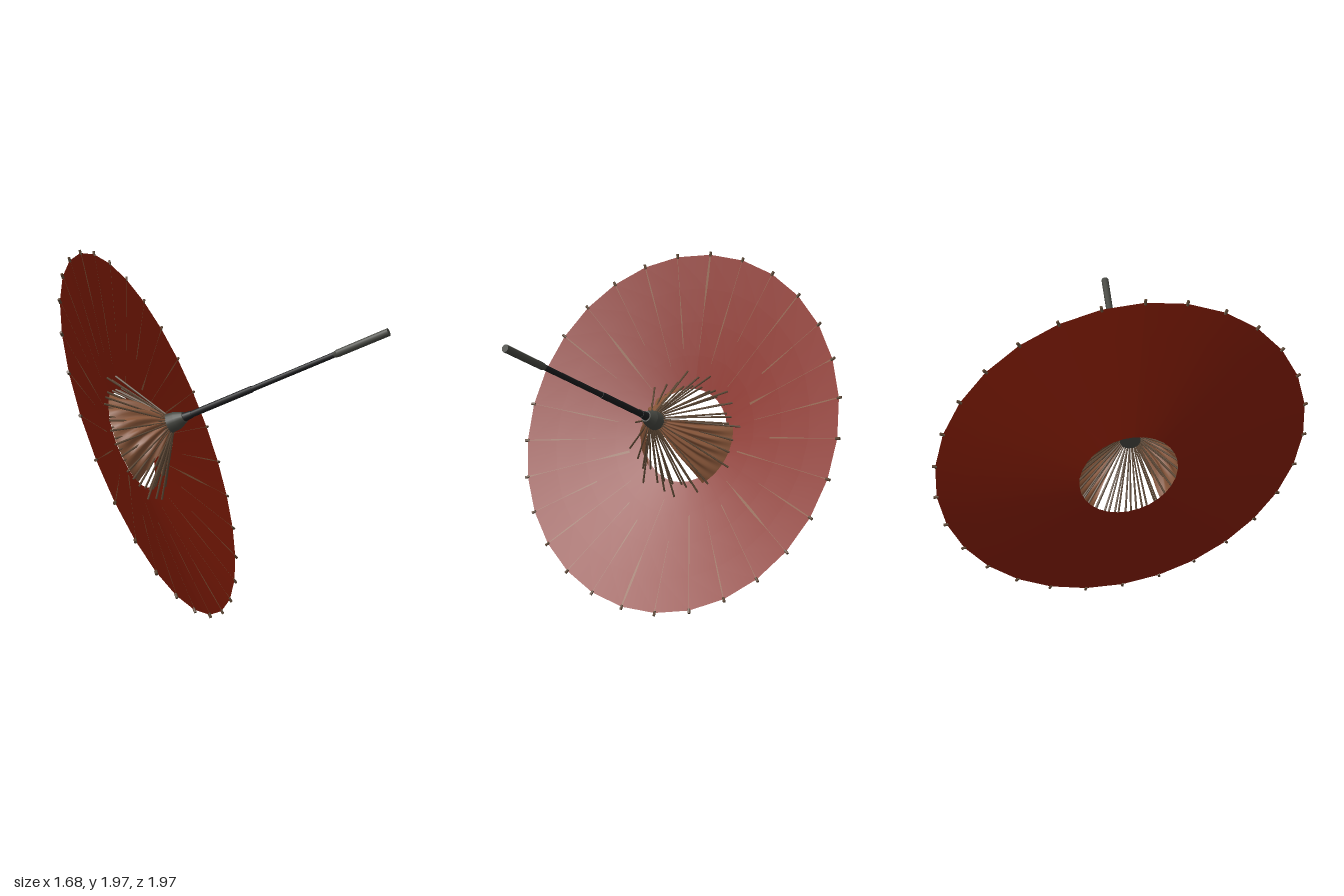
import * as THREE from 'three';
import { mergeGeometries } from 'three/addons/utils/BufferGeometryUtils.js';

const RIBS = 29;
const HOLE = 0.265; // hole radius as a fraction of the canopy radius
const V = (x, y, z) => new THREE.Vector3(x, y, z);

// Canopy frame: axis, up-slope direction and sideways direction
const axis = V(0.883, 0.386, 0.269).normalize();
const up = V(0, 1, 0).addScaledVector(axis, -axis.y).normalize();
const side = V(axis.z, 0, -axis.x).normalize();
const centre = V(-0.35, 0.985, 0.005);
const hubBase = V(-0.285, 1.04, 0.09);
const gripEnd = V(0.825, 1.598, 0.59);
const along = t => hubBase.clone().lerp(gripEnd, t);

// Moves a point outwards from the canopy axis
const outward = (p, angle, d) => p
  .addScaledVector(up, Math.cos(angle) * d)
  .addScaledVector(side, Math.sin(angle) * d);

// Point on the shallow cone: r is 0..1, lift raises it towards the handle
function onCanopy(r, angle, lift = 0) {
  const h = -0.135 * (1 - r) / (1 - HOLE) + lift;
  return centre.clone()
    .addScaledVector(up, Math.cos(angle) * r * 1.05)
    .addScaledVector(side, Math.sin(angle) * r * 1.005)
    .addScaledVector(axis, h);
}

// Surface from a grid of points
function sheet(rows, cols, point) {
  const pos = [], index = [];
  for (let i = 0; i <= rows; i++)
    for (let j = 0; j <= cols; j++) pos.push(...point(i / rows, j / cols).toArray());
  for (let i = 0; i < rows; i++)
    for (let j = 0; j < cols; j++) {
      const a = i * (cols + 1) + j, b = a + cols + 1;
      index.push(a, b, a + 1, b, b + 1, a + 1);
    }
  const g = new THREE.BufferGeometry();
  g.setAttribute('position', new THREE.Float32BufferAttribute(pos, 3));
  g.setIndex(index);
  g.computeVertexNormals();
  return g;
}

// Straight rod between two points
function rod(a, b, ra, rb = ra, sides = 6) {
  const d = b.clone().sub(a);
  const g = new THREE.CylinderGeometry(rb, ra, d.length(), sides);
  g.applyQuaternion(new THREE.Quaternion().setFromUnitVectors(V(0, 1, 0), d.normalize()));
  const m = a.clone().add(b).multiplyScalar(0.5);
  return g.translate(m.x, m.y, m.z);
}

export function createModel() {
  const model = new THREE.Group();
  model.name = 'parasol';
  const mat = (name, color, extra = {}) => {
    const m = new THREE.MeshStandardMaterial({ color, ...extra });
    m.name = name;
    return m;
  };
  const red = mat('red paper', 0x881d06, { side: THREE.DoubleSide });
  const tan = mat('tan webbing', 0x875538, { side: THREE.DoubleSide });
  const bamboo = mat('dark bamboo', 0x5f4936);
  const black = mat('black lacquer', 0x1b1c1e);
  const grey = mat('grey grip', 0x454640);
  const add = (name, geometry, material) => {
    const mesh = new THREE.Mesh(geometry, material);
    mesh.name = name;
    model.add(mesh);
  };

  // Paper canopy with an open centre
  add('canopy', sheet(4, RIBS, (i, j) =>
    onCanopy(HOLE + (1 - HOLE) * i, j * Math.PI * 2)), red);

  const ribs = [], tips = [], struts = [];
  const hubTop = along(0.02);
  for (let k = 0; k < RIBS; k++) {
    const a = (k / RIBS) * Math.PI * 2;
    // Thin rib faces on the inside, widening where they stand clear of the paper
    const bold = k % 5 === 0 ? 0.006 : 0.0025;
    const inner = 0.36 + 0.12 * (1 + Math.sin(k * 3.7));
    ribs.push(sheet(10, 1, (i, j) => {
      const r = inner + (1 - inner) * i;
      const half = 0.0012 + bold * Math.max(0, Math.sin(r * 9 + k * 2.1));
      return onCanopy(r, a + (j - 0.5) * 2 * half / r, 0.003);
    }));
    // Rib tips past the rim
    tips.push(rod(onCanopy(0.99, a), onCanopy(1.016, a), 0.008));
    // Paired struts from the hub to each rib
    for (const s of [-1, 1]) {
      const reach = s < 0 ? HOLE + 0.015 : 0.33 + 0.03 * Math.sin(k * 2.3);
      const foot = onCanopy(reach, a + s * 0.054, 0.004);
      struts.push(rod(foot, outward(hubTop.clone(), a, 0.04), 0.006, 0.004, 5));
    }
  }
  add('ribs', mergeGeometries(ribs), tan);
  add('ribTips', mergeGeometries(tips), bamboo);
  add('struts', mergeGeometries(struts), bamboo);

  // Crumpled, bulging webbing on two sides of the strut cone
  const webs = [[225, 343, 0.28], [76, 145, 0.31]].map(([from, to, reach]) =>
    sheet(8, 40, (i, j) => {
      const a = THREE.MathUtils.degToRad(from + (to - from) * j);
      const bulge = Math.sin(i * Math.PI) * (0.022 + 0.014 * Math.sin(j * 38 + i * 5));
      const p = outward(hubTop.clone(), a, 0.04).lerp(onCanopy(reach, a, 0.005), i);
      return outward(p, a, bulge);
    }));
  add('webbing', mergeGeometries(webs), tan);

  // Hub, shaft and grip along one line
  add('hub', mergeGeometries([
    rod(along(0), along(0.05), 0.056, 0.05, 16),
    rod(along(0.05), along(0.085), 0.05, 0.032, 16),
  ]), grey);
  add('shaft', mergeGeometries([
    rod(along(0.075), along(0.12), 0.026, 0.02, 12),
    rod(along(0.08), along(0.4), 0.018, 0.018, 12),
    rod(along(0.4), along(0.78), 0.015, 0.015, 12),
  ]), black);
  add('grip', mergeGeometries([
    rod(along(0.765), along(0.78), 0.015, 0.02, 12),
    rod(along(0.78), along(1), 0.02, 0.021, 12),
  ]), grey);

  return model;
}
